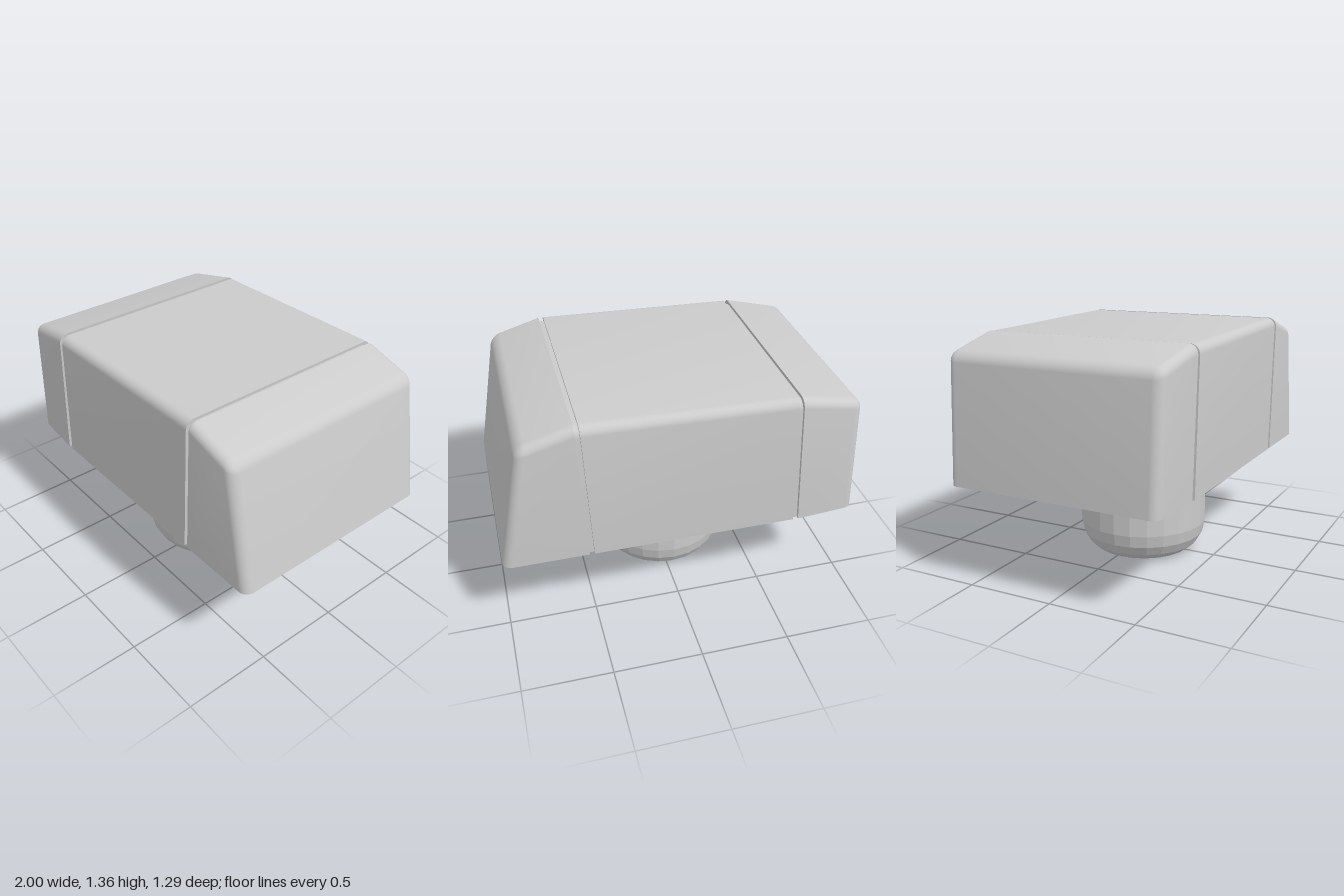
import * as THREE from 'three';
import { toCreasedNormals } from 'three/addons/utils/BufferGeometryUtils.js';

const BASE = 0.547;     // underside of the head
const ROUND = 0.052;    // radius of the rounded edges
const STEPS = 6;

// One slanted cross-section: bottom x, top x, top height, half width, inset for rounding
function section(b, t, h, w, inset = 0) {
  const r = Math.max(ROUND - inset, 0.002);
  const hw = w - inset, top = h - inset, pts = [];
  const add = (y, z) => pts.push(new THREE.Vector3(b + (t - b) * (y - BASE) / (h - BASE), y, z));
  add(BASE, hw);
  for (let i = 0; i <= STEPS; i++) {
    const a = i / STEPS * Math.PI / 2;
    add(top - r + r * Math.sin(a), hw - r + r * Math.cos(a));
  }
  for (let i = STEPS; i >= 0; i--) {
    const a = i / STEPS * Math.PI / 2;
    add(top - r + r * Math.sin(a), -hw + r - r * Math.cos(a));
  }
  add(BASE, -hw);
  return pts;
}

// Closed solid through sections ordered from -x to +x
function loft(sections) {
  const pos = [], n = sections[0].length;
  const tri = (...p) => p.forEach(v => pos.push(v.x, v.y, v.z));
  for (let i = 0; i < sections.length - 1; i++) {
    const s = sections[i], e = sections[i + 1];
    for (let j = 0; j < n; j++) {
      const k = (j + 1) % n;
      tri(s[j], e[j], e[k]);
      tri(s[j], e[k], s[k]);
    }
  }
  const first = sections[0], last = sections[sections.length - 1];
  for (let j = 1; j < n - 1; j++) {
    tri(first[0], first[j], first[j + 1]);
    tri(last[0], last[j + 1], last[j]);
  }
  const g = new THREE.BufferGeometry();
  g.setAttribute('position', new THREE.Float32BufferAttribute(pos, 3));
  return toCreasedNormals(g, 0.5);
}

// Sections from the inner side of an end piece out to its rounded outer face
function endSections(inner, outer) {
  const list = [section(inner.b, inner.t, inner.h, inner.w)];
  const dir = Math.sign(inner.t - outer.t);
  for (let i = 0; i <= STEPS; i++) {
    const a = i / STEPS * Math.PI / 2;
    const d = ROUND * (1 - Math.sin(a));
    const f = d / Math.abs(inner.t - outer.t);
    list.push(section(
      outer.b + dir * d, outer.t + dir * d,
      THREE.MathUtils.lerp(outer.h, inner.h, f),
      THREE.MathUtils.lerp(outer.w, inner.w, f),
      ROUND * (1 - Math.cos(a))));
  }
  return list;
}

export function createModel() {
  const group = new THREE.Group();
  const smooth = new THREE.MeshStandardMaterial({ color: 0xcccccc });
  const faceted = new THREE.MeshStandardMaterial({ color: 0xcccccc, flatShading: true });
  const add = (name, geometry, material = smooth) => {
    const mesh = new THREE.Mesh(geometry, material);
    mesh.name = name;
    group.add(mesh);
    return mesh;
  };

  // End pieces of the head with rounded outer edges
  add('rightEnd', loft(endSections(
    { b: -0.655, t: -0.61, h: 1.335, w: 0.643 },
    { b: -1, t: -0.962, h: 1.258, w: 0.618 }).reverse()));
  add('leftEnd', loft(endSections(
    { b: 0.537, t: 0.577, h: 1.355, w: 0.643 },
    { b: 1, t: 0.868, h: 1.268, w: 0.643 })));

  // Middle of the head
  add('middleBlock', loft([
    section(-0.625, -0.588, 1.332, 0.643),
    section(0.51, 0.55, 1.355, 0.643)]));

  // Recessed floors of the two grooves
  add('rightGroove', loft([
    section(-0.66, -0.615, 1.316, 0.626),
    section(-0.62, -0.583, 1.316, 0.626)]));
  add('leftGroove', loft([
    section(0.505, 0.545, 1.339, 0.626),
    section(0.542, 0.582, 1.339, 0.626)]));

  // Faceted peg under the head
  const profile = [[0, 0], [0.24, 0], [0.285, 0.015], [0.33, 0.053], [0.362, 0.11],
    [0.375, 0.18], [0.375, 0.56]].map(p => new THREE.Vector2(...p));
  add('peg', new THREE.LatheGeometry(profile, 24), faceted).position.set(-0.022, 0, 0.045);

  return group;
}
